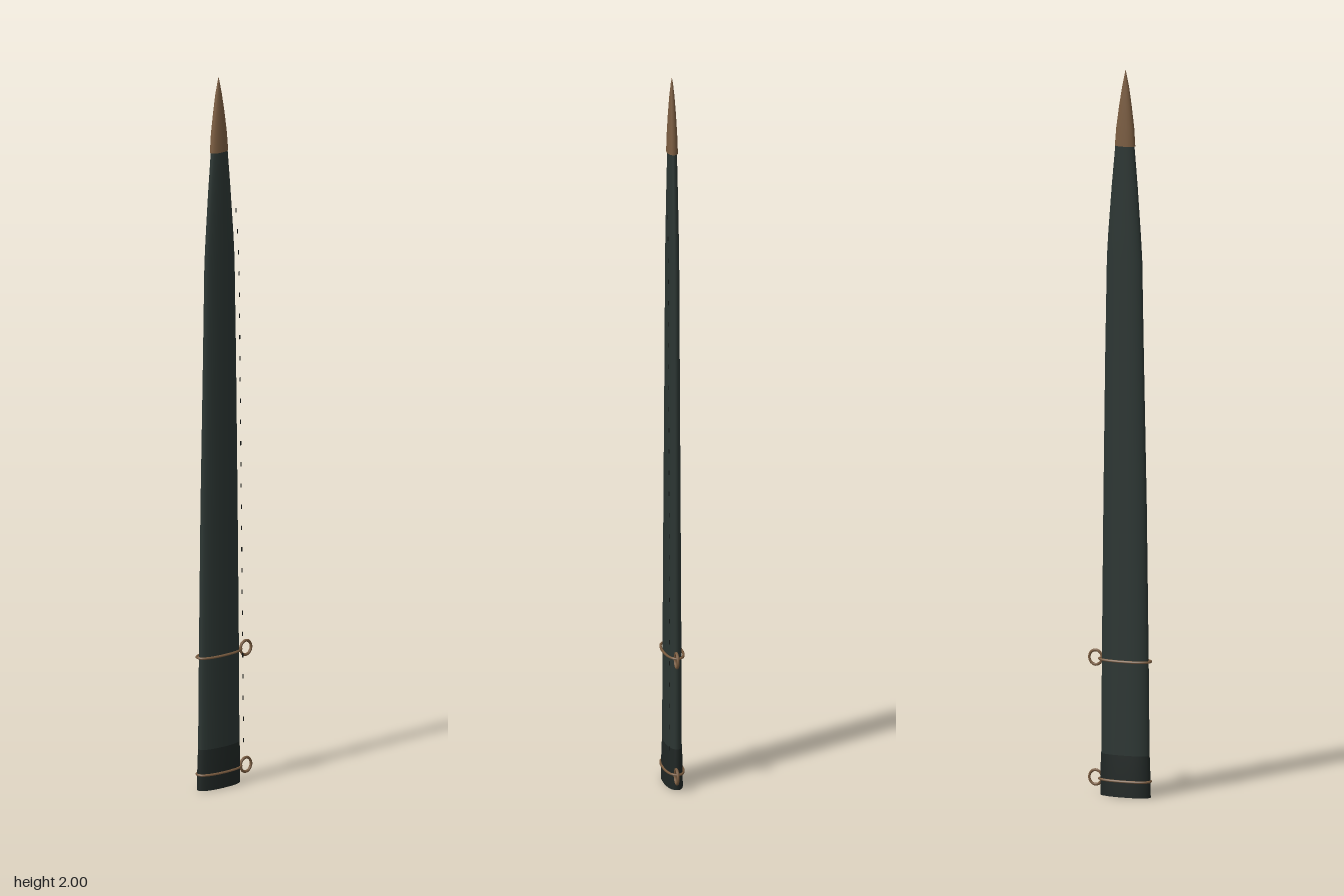
import * as THREE from 'three';

const mat = (name, color) => Object.assign(new THREE.MeshStandardMaterial({ color }), { name });

// one point of a rounded, slightly boxy oval
function oval(x0, x1, hz, t) {
  const e = 0.88, c = Math.cos(t), s = Math.sin(t);
  return [(x0 + x1) / 2 + (x1 - x0) / 2 * Math.sign(c) * Math.abs(c) ** e, hz * Math.sign(s) * Math.abs(s) ** e];
}

// skin through oval sections [y, xMin, xMax, halfDepth], flat cap on the lower end
function loft(sections, n = 32) {
  const pos = [], idx = [];
  const ring = ([y, x0, x1, hz]) => {
    for (let j = 0; j < n; j++) {
      const [x, z] = oval(x0, x1, hz, j / n * Math.PI * 2);
      pos.push(x, y, z);
    }
  };
  sections.forEach(ring);
  for (let i = 0; i < sections.length - 1; i++) {
    for (let j = 0; j < n; j++) {
      const a = i * n + j, b = i * n + (j + 1) % n;
      idx.push(a, a + n, b, b, a + n, b + n);
    }
  }
  const base = pos.length / 3, [y, x0, x1] = sections[0];
  ring(sections[0]);
  pos.push((x0 + x1) / 2, y, 0);
  for (let j = 0; j < n; j++) idx.push(base + n, base + j, base + (j + 1) % n);
  const g = new THREE.BufferGeometry();
  g.setAttribute('position', new THREE.Float32BufferAttribute(pos, 3));
  g.setIndex(idx);
  g.computeVertexNormals();
  return g;
}

export function createModel() {
  const leather = mat('darkGreenLeather', 0x2b3532);
  const dark = mat('darkThroat', 0x1f2624);
  const copper = mat('agedCopper', 0x7a5c40);
  const thread = mat('blackThread', 0x151817);
  const model = new THREE.Group();
  model.name = 'scabbard';
  const add = (name, geometry, material, parent = model) => {
    const m = new THREE.Mesh(geometry, material);
    m.name = name;
    parent.add(m);
    return m;
  };

  // long tapering sheath
  add('sheathBody', loft([
    [0.1, -0.087, 0.05, 0.021], [0.4, -0.084, 0.048, 0.02], [0.8, -0.079, 0.044, 0.018],
    [1.2, -0.071, 0.039, 0.016], [1.48, -0.066, 0.034, 0.015], [1.55, -0.062, 0.03, 0.0145],
    [1.68, -0.053, 0.02, 0.013], [1.8, -0.043, 0.009, 0.0115],
  ]), leather);

  // slightly wider throat with a recessed mouth plate
  add('throat', loft([[0, -0.09, 0.052, 0.024], [0.06, -0.089, 0.052, 0.0235], [0.115, -0.087, 0.0505, 0.0215]]), dark);
  add('mouthSlot', loft([[-0.0005, -0.075, 0.037, 0.011], [0.001, -0.075, 0.037, 0.011]]), thread);

  // pointed metal tip
  add('tip', loft([
    [1.79, -0.046, 0.011, 0.0145], [1.84, -0.043, 0.007, 0.013], [1.9, -0.036, -0.001, 0.01],
    [1.95, -0.029, -0.009, 0.0065], [1.985, -0.022, -0.016, 0.003], [2, -0.0192, -0.0188, 0.0003],
  ]), copper);

  // wire bands, each carrying a hanging ring
  for (const [y, name] of [[0.044, 'lower'], [0.374, 'upper']]) {
    const pts = [];
    for (let j = 0; j < 24; j++) {
      const [x, z] = oval(-0.09, 0.055, 0.0255, j / 24 * Math.PI * 2);
      pts.push(new THREE.Vector3(x, y, z));
    }
    add(name + 'Band', new THREE.TubeGeometry(new THREE.CatmullRomCurve3(pts, true), 64, 0.0035, 6, true), copper);
    const ring = add(name + 'Ring', new THREE.TorusGeometry(0.02, 0.004, 8, 24), copper);
    ring.scale.x = 0.9;
    ring.position.set(0.069, y, 0.007);
  }

  // row of stitches along the left edge
  const stitches = new THREE.Group();
  stitches.name = 'stitching';
  model.add(stitches);
  const stitch = new THREE.BoxGeometry(0.0025, 0.012, 0.0015);
  for (let i = 0; i < 26; i++) {
    const y = 0.12 + i * 0.06;
    const x = y < 1.48 ? 0.05 - (y - 0.1) * 0.0115 : 0.034 - (y - 1.48) * 0.07;
    add('stitch', stitch, thread, stitches).position.set(x, y, 0.0215);
  }
  return model;
}
